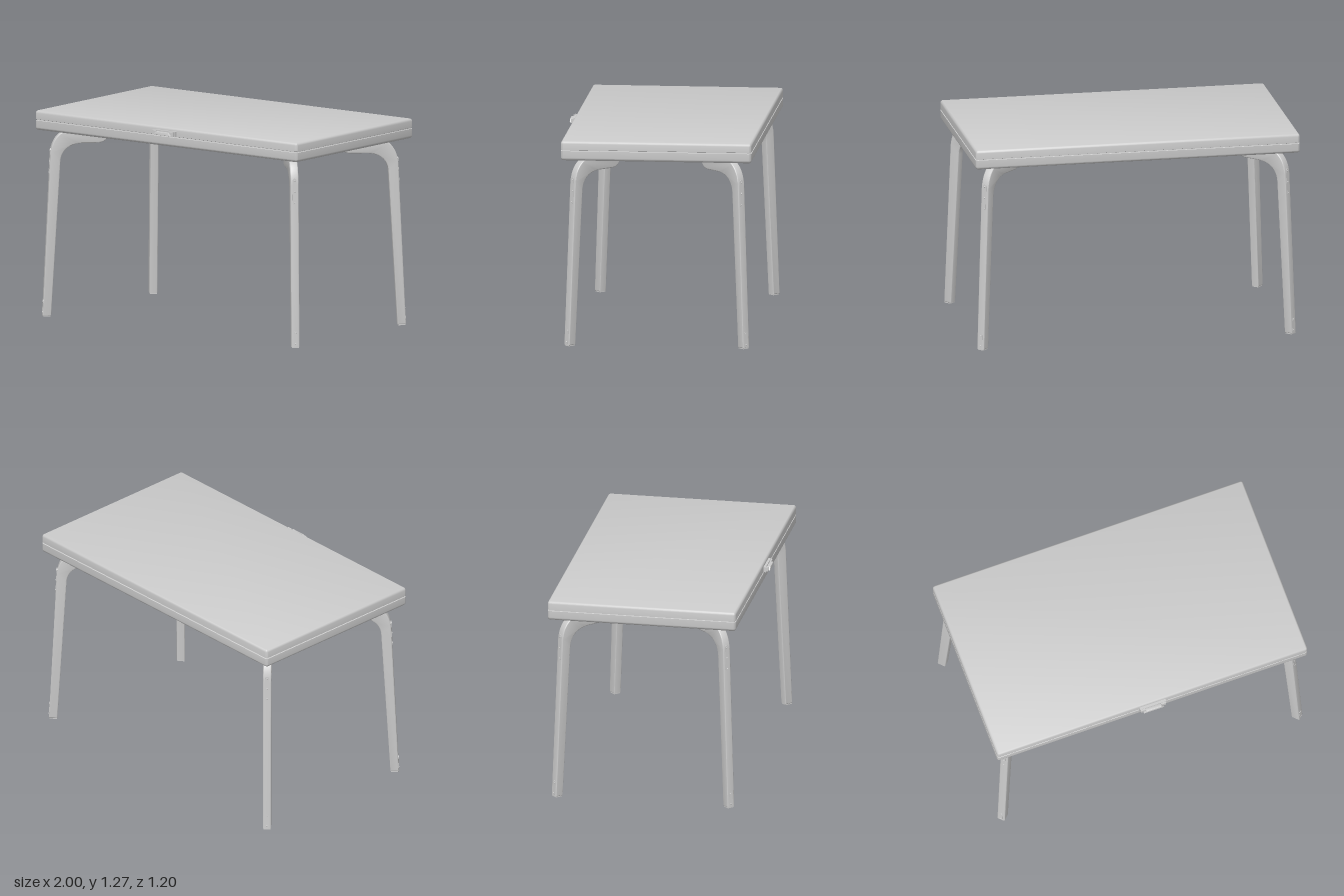
import * as THREE from 'three';
import { toCreasedNormals } from 'three/addons/utils/BufferGeometryUtils.js';

const material = new THREE.MeshStandardMaterial({ color: 0xcccccc });
const TOP_Z = -0.023; // centre of the table top in z

function add(parent, name, geometry, x = 0, y = 0, z = 0) {
  const mesh = new THREE.Mesh(geometry, material);
  mesh.name = name;
  mesh.position.set(x, y, z);
  parent.add(mesh);
  return mesh;
}

// Stack of rounded rectangles; levels are [height, inset] from bottom to top
function slabGeometry(halfX, halfZ, radius, levels) {
  const steps = 4, count = 4 * (steps + 1), pos = [], index = [];
  for (const [y, inset] of levels) {
    const r = Math.max(radius - inset, 0.002);
    for (let q = 0; q < 4; q++) {
      const sx = q === 0 || q === 3 ? 1 : -1, sz = q < 2 ? 1 : -1;
      for (let i = 0; i <= steps; i++) {
        const a = (q + i / steps) * Math.PI / 2;
        pos.push(sx * (halfX - inset - r) + r * Math.cos(a), y, sz * (halfZ - inset - r) + r * Math.sin(a));
      }
    }
  }
  for (let l = 0; l < levels.length - 1; l++) {
    for (let i = 0; i < count; i++) {
      const a = l * count + i, b = l * count + (i + 1) % count;
      index.push(a, a + count, b, b, a + count, b + count);
    }
  }
  const last = (levels.length - 1) * count;
  for (let i = 1; i < count - 1; i++) {
    index.push(0, i, i + 1, last, last + i + 1, last + i);
  }
  const g = new THREE.BufferGeometry();
  g.setAttribute('position', new THREE.Float32BufferAttribute(pos, 3));
  g.setIndex(index);
  return toCreasedNormals(g, 0.6);
}

// Rounded edges at top and bottom, with a seam groove between the two leaves
function topGeometry() {
  const r = 0.018, low = 1.145, high = 1.266, seam = 1.208, levels = [];
  const arc = [0, 1, 2, 3, 4].map(i => i / 4 * Math.PI / 2);
  for (const a of arc) levels.push([low + r * (1 - Math.cos(a)), r * (1 - Math.sin(a))]);
  levels.push([seam - 0.004, 0], [seam - 0.002, 0.006], [seam + 0.002, 0.006], [seam + 0.004, 0]);
  for (const a of arc) levels.push([high - r * (1 - Math.sin(a)), r * (1 - Math.cos(a))]);
  return slabGeometry(1, 0.58, 0.016, levels);
}

// Bent leg profile: x points outward, the outer foot edge is the origin
function legGeometry() {
  const s = new THREE.Shape();
  s.moveTo(-0.051, 0.006);
  s.lineTo(0, 0.006);
  s.lineTo(-0.046, 0.99);
  s.bezierCurveTo(-0.05, 1.08, -0.1, 1.147, -0.18, 1.147);
  s.lineTo(-0.402, 1.147);
  s.lineTo(-0.402, 1.115);
  s.bezierCurveTo(-0.4, 1.085, -0.375, 1.061, -0.335, 1.061);
  s.lineTo(-0.235, 1.061);
  s.bezierCurveTo(-0.165, 1.058, -0.112, 1.02, -0.107, 0.95);
  s.closePath();
  const bevel = 0.006, width = 0.05;
  const g = new THREE.ExtrudeGeometry(s, {
    depth: width - 2 * bevel, curveSegments: 14, bevelEnabled: true,
    bevelSize: bevel, bevelThickness: bevel, bevelOffset: -bevel, bevelSegments: 3,
  });
  g.translate(0, 0, bevel - width / 2);
  return toCreasedNormals(g, 0.6);
}

// Flat strip with round ends, standing upright and facing +x
function plateGeometry(length, width, thickness) {
  const r = width / 2, h = length / 2 - r, s = new THREE.Shape();
  s.absarc(0, h, r, 0, Math.PI);
  s.absarc(0, -h, r, Math.PI, 2 * Math.PI);
  s.closePath();
  const g = new THREE.ExtrudeGeometry(s, { depth: thickness, bevelEnabled: false, curveSegments: 8 });
  return g.rotateY(Math.PI / 2);
}

// Metal strip with screws, tilted to lie on the outer leg face
function fitting(parent, name, y, length, screws) {
  const group = new THREE.Group();
  group.name = name;
  group.position.set(-0.0468 * y, y, 0);
  group.rotation.z = 0.0468;
  add(group, 'plate', plateGeometry(length, 0.024, 0.004), -0.002);
  for (let i = 0; i < screws; i++) {
    const head = new THREE.CylinderGeometry(0.004, 0.006, 0.003, 12).rotateZ(-Math.PI / 2);
    add(group, 'screw', head, 0.003, (i / (screws - 1) - 0.5) * (length - 0.03));
  }
  parent.add(group);
}

export function createModel() {
  const model = new THREE.Group();
  model.name = 'table';
  add(model, 'tableTop', topGeometry(), 0, 0, TOP_Z);

  // Four legs set diagonally at the corners
  const leg = legGeometry();
  for (const sx of [1, -1]) {
    for (const sz of [1, -1]) {
      const group = new THREE.Group();
      group.name = (sz > 0 ? 'front' : 'back') + (sx > 0 ? 'Left' : 'Right') + 'Leg';
      group.position.set(sx * 0.967, 0, TOP_Z + sz * 0.547);
      group.rotation.y = Math.atan2(-sz, sx);
      add(group, 'bentLeg', leg);
      add(group, 'footPad', new THREE.BoxGeometry(0.044, 0.01, 0.042), -0.0255, 0.005);
      fitting(group, 'upperFitting', 0.95, 0.165, 3);
      fitting(group, 'lowerFitting', 0.058, 0.095, 2);
      model.add(group);
    }
  }

  // Latch on the front edge: backing plate, two lugs and a tapered handle
  const latch = new THREE.Group();
  latch.name = 'latch';
  latch.position.set(-0.003, 1.227, TOP_Z + 0.58);
  add(latch, 'latchPlate', new THREE.BoxGeometry(0.17, 0.032, 0.016), 0, 0, 0.007);
  for (const side of [1, -1]) {
    add(latch, 'latchLug', new THREE.BoxGeometry(0.03, 0.026, 0.012), side * 0.065, 0, 0.02);
  }
  const s = new THREE.Shape();
  s.moveTo(-0.065, -0.011);
  s.lineTo(0.065, -0.011);
  s.lineTo(0.048, 0.009);
  s.lineTo(-0.048, 0.009);
  s.closePath();
  const handle = new THREE.ExtrudeGeometry(s, {
    depth: 0.02, bevelSize: 0.003, bevelThickness: 0.003, bevelOffset: -0.003, bevelSegments: 2,
  });
  add(latch, 'latchHandle', toCreasedNormals(handle, 0.6), 0, 0, 0.014);
  model.add(latch);
  return model;
}
